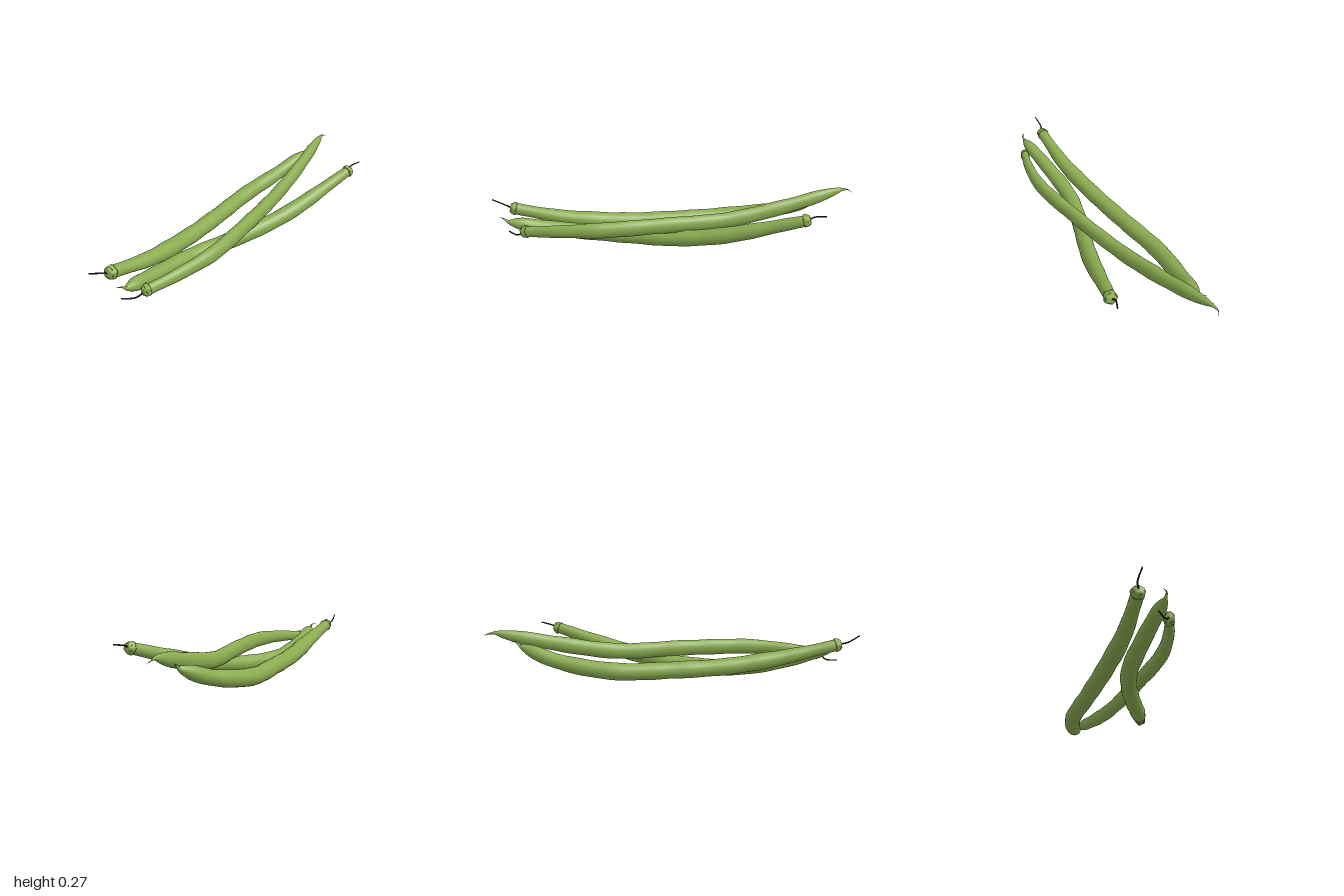
import * as THREE from 'three';

const UP = new THREE.Vector3(0, 1, 0);
const vec = p => new THREE.Vector3(...p);

const green = new THREE.MeshStandardMaterial({ color: 0x8aab50 });
green.name = 'bean green';
const black = new THREE.MeshStandardMaterial({ color: 0x1c1c18 });
black.name = 'dry stalk';

// Sweeps an upright oval along a curve; size(t, angle) gives [halfWidth, halfHeight].
function sweep(curve, rings, sides, size) {
  const pos = [], index = [];
  for (let i = 0; i <= rings; i++) {
    const t = (1 - Math.cos(Math.PI * i / rings)) / 2; // denser at both ends
    const c = curve.getPointAt(t), T = curve.getTangentAt(t);
    const S = new THREE.Vector3().crossVectors(UP, T).normalize();
    const U = new THREE.Vector3().crossVectors(T, S);
    for (let j = 0; j < sides; j++) {
      const a = 2 * Math.PI * j / sides;
      const [w, h] = size(t, a);
      const p = c.clone().addScaledVector(S, w * Math.cos(a)).addScaledVector(U, h * Math.sin(a));
      pos.push(p.x, p.y, p.z);
      if (i < rings) {
        const k = (j + 1) % sides, r0 = i * sides, r1 = r0 + sides;
        index.push(r0 + j, r0 + k, r1 + k, r0 + j, r1 + k, r1 + j);
      }
    }
  }
  const g = new THREE.BufferGeometry();
  g.setAttribute('position', new THREE.Float32BufferAttribute(pos, 3));
  g.setIndex(index);
  g.computeVertexNormals();
  return g;
}

// The path runs from the stalk end to the tip; stalk and tail continue it at either end.
function makeBean(name, { w, h, taper, phase, path, stalk, tail }) {
  const bean = new THREE.Group();
  bean.name = name;
  const add = (part, geometry, material) => {
    const mesh = new THREE.Mesh(geometry, material);
    mesh.name = part;
    bean.add(mesh);
  };
  const curve = new THREE.CatmullRomCurve3(path.map(vec));
  const end = curve.getPointAt(0), dir = curve.getTangentAt(0);

  // Pod: narrow at the stalk, gently swollen over each seed, rounded at the tip
  add('pod', sweep(curve, 110, 24, t => {
    if (t === 0) return [0, 0];
    const neck = 0.68 + 0.32 * THREE.MathUtils.smoothstep(t, 0, 0.28);
    const tip = Math.pow(Math.sin(Math.min(1, (1 - t) / taper) * Math.PI / 2), 0.65);
    const narrowing = 1 - 0.2 * THREE.MathUtils.smoothstep(t, 0.72, 0.98);
    const swell = 1 + 0.025 * Math.sin(t * 56 + phase);
    const r = neck * tip * narrowing * swell;
    return [w * r, h * r];
  }), green);

  // Collar: small wavy cap around the stalk
  const collarPath = new THREE.LineCurve3(
    end.clone().addScaledVector(dir, -0.012), end.clone().addScaledVector(dir, 0.025));
  add('collar', sweep(collarPath, 8, 24, (t, a) => {
    if (t === 0 || t === 1) return [0, 0];
    const wave = 1 + 0.09 * Math.sin(5 * a + phase);
    const r = (0.45 + 0.31 * Math.sin(Math.min(1, t * 1.4) * Math.PI / 2)) * wave;
    return [w * r, h * r];
  }), green);

  // Dry stalk
  const stalkCurve = new THREE.CatmullRomCurve3([end, ...stalk.map(vec)]);
  add('stalk', sweep(stalkCurve, 16, 8, t => {
    const r = t === 0 || t === 1 ? 0 : 0.0045 - 0.001 * t;
    return [r, r];
  }), black);

  // Thin curled tail at the tip
  const tailCurve = new THREE.CatmullRomCurve3([curve.getPointAt(0.992), ...tail.map(vec)]);
  add('tail', sweep(tailCurve, 16, 8, t => {
    const r = 0.008 * Math.pow(1 - t, 2) + 0.0022 * Math.sqrt(1 - t);
    return [r, r];
  }), green);
  return bean;
}

export function createModel() {
  const model = new THREE.Group();
  model.name = 'greenBeans';

  model.add(makeBean('rightBean', {
    w: 0.045, h: 0.045, taper: 0.07, phase: 0.4,
    path: [[-0.045, 0.185, 0.89], [-0.068, 0.12, 0.6], [-0.12, 0.078, 0.3], [-0.172, 0.066, 0],
      [-0.22, 0.068, -0.3], [-0.197, 0.115, -0.6], [-0.155, 0.19, -0.81]],
    stalk: [[-0.059, 0.2, 0.935], [-0.048, 0.234, 0.998]],
    tail: [[-0.16, 0.211, -0.828], [-0.187, 0.209, -0.846]],
  }));

  model.add(makeBean('crossingBean', {
    w: 0.034, h: 0.043, taper: 0.1, phase: 2.1,
    path: [[0.105, 0.108, 0.81], [0.142, 0.125, 0.63], [0.155, 0.136, 0.4], [0.085, 0.136, 0.03],
      [0.002, 0.133, -0.3], [-0.062, 0.18, -0.6], [-0.144, 0.257, -0.95]],
    stalk: [[0.08, 0.079, 0.845], [0.038, 0.083, 0.9]],
    tail: [[-0.15, 0.248, -0.975], [-0.14, 0.235, -0.998]],
  }));

  model.add(makeBean('lowerBean', {
    w: 0.043, h: 0.044, taper: 0.07, phase: 4.3,
    path: [[0.24, 0.228, -0.685], [0.145, 0.1, -0.25], [0.075, 0.055, 0], [0.022, 0.045, 0.2],
      [-0.003, 0.051, 0.38], [0.024, 0.093, 0.65], [0.075, 0.155, 0.9]],
    stalk: [[0.232, 0.242, -0.715], [0.252, 0.253, -0.775]],
    tail: [[0.073, 0.172, 0.915], [0.052, 0.172, 0.942]],
  }));
  return model;
}
